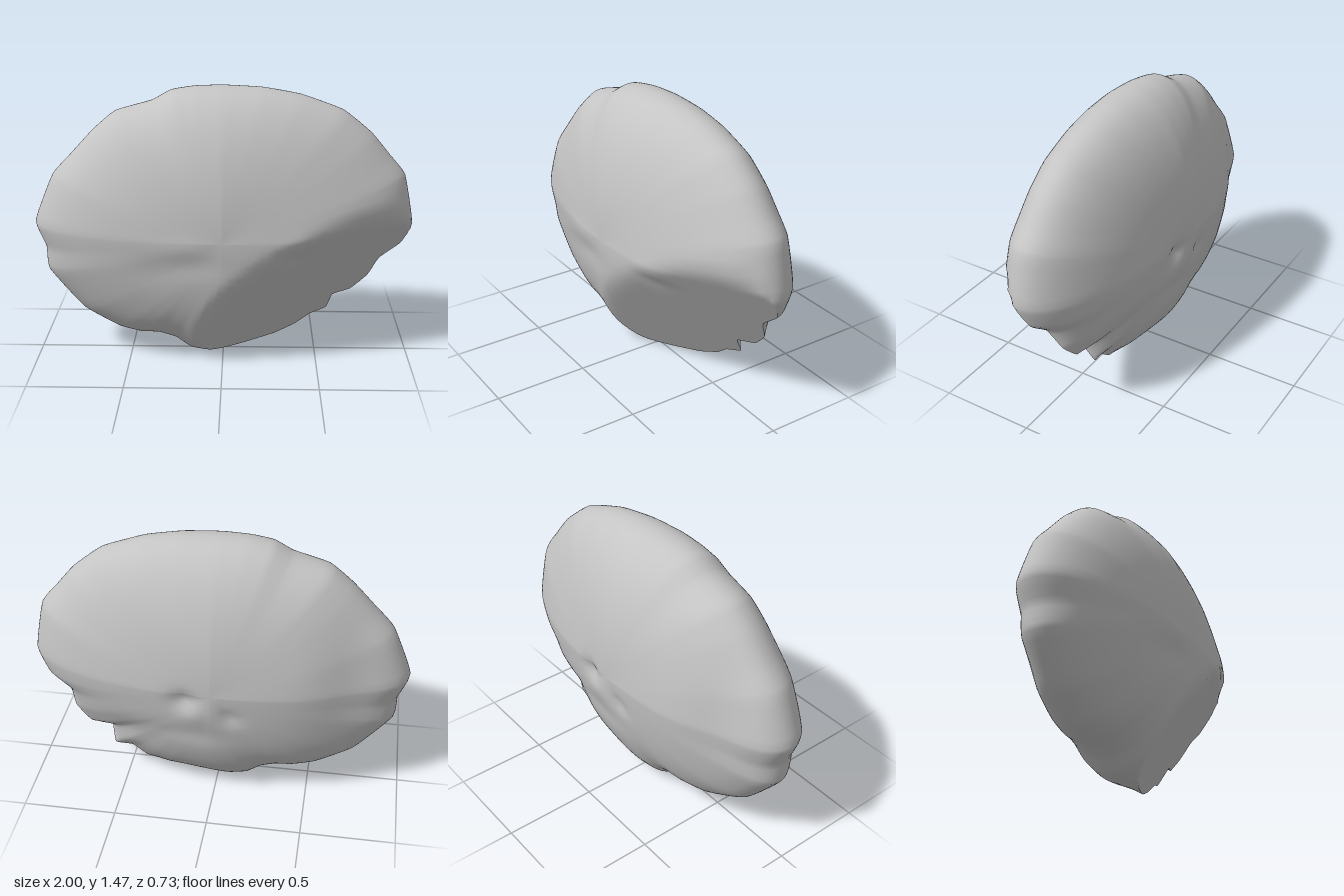
import * as THREE from 'three';
import { mergeVertices } from 'three/addons/utils/BufferGeometryUtils.js';

const CY = 0.73, DEPTH = 0.365;

// Rim of the pebble, counter-clockwise from the +x tip
const RIM = [
  [1, .74], [.95, 1], [.87, 1.1], [.77, 1.22], [.62, 1.34], [.4, 1.42], [.2, 1.455], [0, 1.465],
  [-.15, 1.46], [-.27, 1.44], [-.37, 1.385], [-.56, 1.33], [-.68, 1.23], [-.8, 1.1], [-.9, .99],
  [-1, .74], [-.95, .6], [-.94, .47], [-.76, .25], [-.57, .14], [-.45, .11], [-.36, .11],
  [-.26, .08], [-.18, .02], [-.07, 0], [.1, .02], [.28, .05], [.4, .1], [.48, .16], [.57, .19],
  [.6, .29], [.7, .31], [.79, .4], [.84, .52], [.95, .61],
];

// Smooth minimum, used to blend a worn facet into the round body
const softMin = (a, b, k) => {
  const h = Math.max(k - Math.abs(a - b), 0) / k;
  return Math.min(a, b) - h * h * k / 4;
};

// Steep facet low on the +x side; it carries the rim backwards
const facet = (x, y) => .347 - .51 * (x - .2) + .7 * (y - .6);

// How much each quarter is worn flat between its ridges, counter-clockwise from upper +x
const FRONT_WEAR = [.12, .05, .09, 0];
const BACK_WEAR = [.09, .08, .08, .08];

// Small dents and bumps: x, y, radius x, radius y, height
const FRONT_MARKS = [
  [-.15, .6, .16, .06, -.008], [-.2, .69, .16, .06, .006], [.34, .64, .07, .05, -.008],
  [.42, .7, .1, .06, .006], [-.35, .55, .12, .07, -.006],
];
const BACK_MARKS = [
  [.14, .69, .06, .06, -.03], [.08, .6, .07, .06, .012], [-.1, .6, .05, .05, -.018],
  [.45, .38, .16, .1, -.02], [.12, .45, .2, .06, -.01], [-.72, .75, .18, .4, -.04],
];
const marks = (list, x, y) => list.reduce((sum, [mx, my, rx, ry, h]) =>
  sum + h * Math.exp(-(((x - mx) / rx) ** 2) - ((y - my) / ry) ** 2), 0);

function pebbleGeometry() {
  const rim = new THREE.CatmullRomCurve3(
    RIM.map(([x, y]) => new THREE.Vector3(x, y, 0)), true, 'catmullrom', .2);
  const cols = RIM.length * 4, rings = 64;
  const edge = Array.from({ length: cols }, (_, j) => rim.getPoint(j / cols));
  const pos = [], index = [];
  for (let i = 0; i <= rings; i++) {
    const phi = Math.PI * i / rings;
    const t = Math.sin(phi), blend = t * t, front = i < rings / 2;
    for (let j = 0; j < cols; j++) {
      // An even oval inside, easing into the uneven rim
      const a = Math.atan2((edge[j].y - CY) / CY, edge[j].x);
      const x = t * THREE.MathUtils.lerp(Math.cos(a), edge[j].x, blend);
      const y = CY + t * THREE.MathUtils.lerp(CY * Math.sin(a), edge[j].y - CY, blend);
      const quarter = Math.floor((a + 2 * Math.PI) / (Math.PI / 2)) % 4;
      const wear = (front ? FRONT_WEAR : BACK_WEAR)[quarter];
      const round = DEPTH * Math.abs(Math.cos(phi)) * (1 - wear * Math.abs(Math.sin(2 * a)) * t);
      const fade = Math.min(1, round / .15);
      const rimZ = Math.min(0, facet(edge[j].x, edge[j].y));
      const z = front
        ? softMin(round, facet(x, y), .04 * round / DEPTH + 1e-4) + fade * marks(FRONT_MARKS, x, y)
        : -Math.hypot(round + fade * marks(BACK_MARKS, x, y), rimZ * t ** 6);
      pos.push(x, y, z);
      if (i < rings) {
        const p = i * cols + j, q = i * cols + (j + 1) % cols;
        if (i < rings - 1) index.push(p, p + cols, q + cols);
        if (i > 0 && i < rings - 1) index.push(p, q + cols, q);
        if (i === rings - 1) index.push(p, p + cols, q);
      }
    }
  }
  const geometry = new THREE.BufferGeometry();
  geometry.setAttribute('position', new THREE.Float32BufferAttribute(pos, 3));
  geometry.setIndex(index);
  const merged = mergeVertices(geometry, 1e-4);
  merged.computeVertexNormals();
  return merged;
}

export function createModel() {
  const group = new THREE.Group();
  group.name = 'pebble';
  const stone = new THREE.MeshStandardMaterial({ color: 0xc4c4c4 });
  stone.name = 'stone grey';
  const body = new THREE.Mesh(pebbleGeometry(), stone);
  body.name = 'stoneBody';
  group.add(body);
  return group;
}
